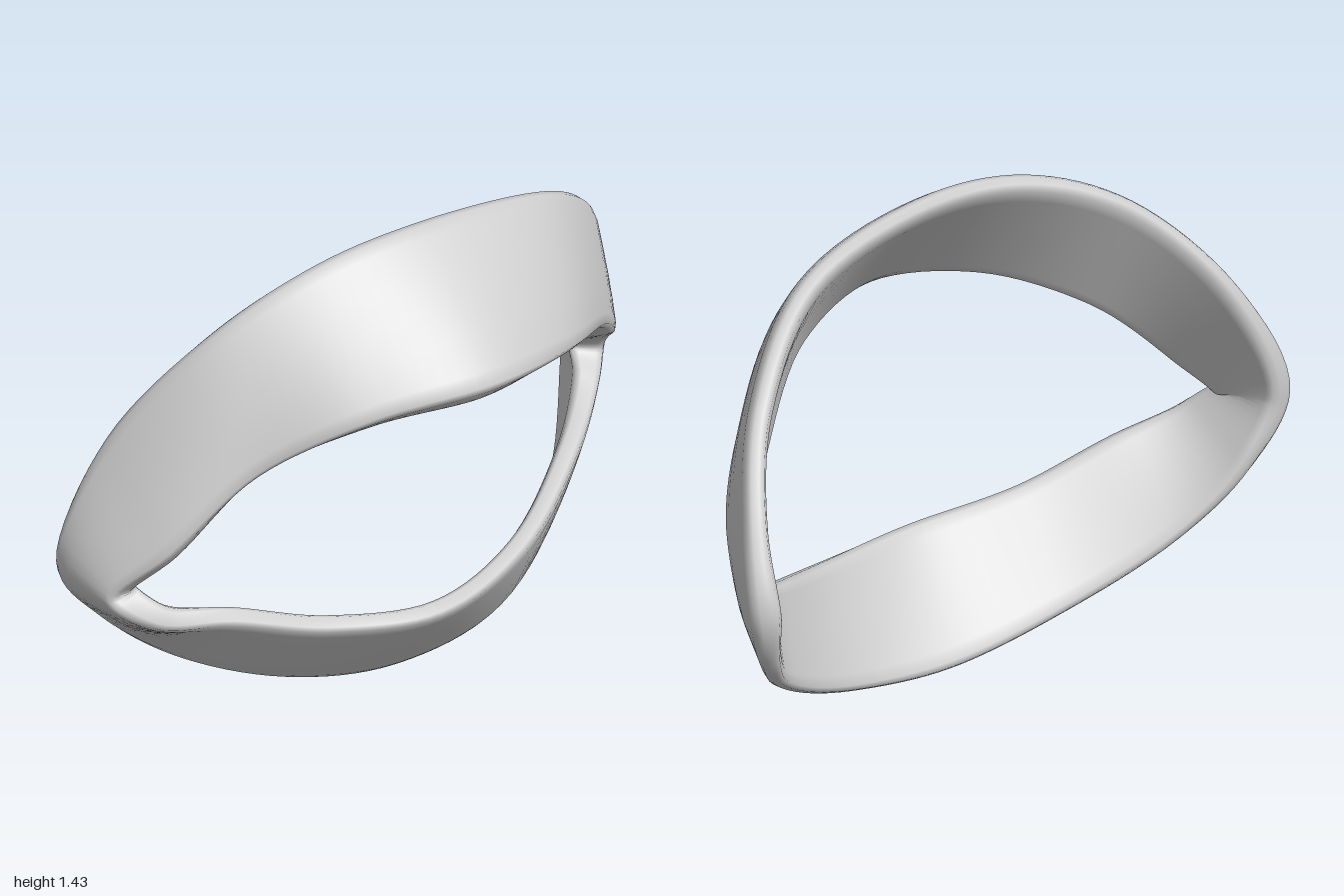
import * as THREE from 'three';

// Stations round the eye opening, counterclockwise from the outer corner:
// lid margin (x, y, z), then outer rim (x, y, z)
const STATIONS = [
  [0.93, 0.61, -0.25, 1.01, 0.63, -0.48],
  [0.87, 0.75, -0.09, 0.98, 0.86, -0.39],
  [0.74, 0.88, 0.07, 0.84, 1.13, -0.18],
  [0.45, 1.02, 0.36, 0.55, 1.35, 0.04],
  [0.10, 1.08, 0.52, 0.10, 1.44, 0.15],
  [-0.25, 1.04, 0.46, -0.25, 1.41, 0.17],
  [-0.55, 0.90, 0.34, -0.57, 1.26, 0.13],
  [-0.80, 0.69, 0.28, -0.85, 0.96, 0.02],
  [-0.94, 0.55, 0.20, -1.00, 0.60, -0.01],
  [-0.83, 0.46, 0.26, -0.86, 0.39, -0.02],
  [-0.60, 0.42, 0.29, -0.64, 0.21, 0.02],
  [-0.30, 0.33, 0.32, -0.30, 0.06, 0.06],
  [0.05, 0.29, 0.34, 0.07, -0.01, 0.05],
  [0.40, 0.34, 0.21, 0.43, 0.04, 0.00],
  [0.71, 0.46, -0.02, 0.75, 0.22, -0.19],
  [0.88, 0.55, -0.19, 0.95, 0.45, -0.43],
];

// Rounded lid section: u runs from margin to rim, v from skin to inner face
const SECTION = [
  [0.02, 0.05], [0.1, -0.03], [0.3, -0.08], [0.5, -0.1], [0.7, -0.08], [0.9, -0.03], [0.97, 0.08],
  [1, 0.3], [1, 0.65], [0.97, 0.9], [0.88, 1], [0.5, 0.92], [0.12, 1], [0.04, 0.93], [0, 0.75], [0, 0.25],
];

const STEPS = 128;

function closedCurve(offset) {
  const points = STATIONS.map((s) => new THREE.Vector3(s[offset], s[offset + 1], s[offset + 2]));
  return new THREE.CatmullRomCurve3(points, true, 'centripetal');
}

// Sweep the section between the margin curve and the rim curve
function lidGeometry() {
  const margin = closedCurve(0);
  const rim = closedCurve(3);
  const middle = (t) => margin.getPoint(t % 1).add(rim.getPoint(t % 1)).multiplyScalar(0.5);
  const positions = [];
  const indices = [];
  const count = SECTION.length;

  for (let i = 0; i < STEPS; i++) {
    const t = i / STEPS;
    const a = margin.getPoint(t);
    const across = rim.getPoint(t).sub(a);
    const along = middle(t + 0.02).sub(middle(t + 0.98));
    const inward = along.cross(across).normalize();
    // The upper lid is thicker than the lower, both thin out to the rim,
    // and the flesh fills out at the two corners
    const upper = 0.5 + 0.5 * Math.sin(t * Math.PI * 2);
    const corner = Math.cos(t * Math.PI * 2) ** 16;
    const marginThickness = 0.06 + 0.04 * upper + 0.025 * corner;
    const rimThickness = 0.045 + 0.02 * upper + 0.03 * corner;
    for (const [u, v] of SECTION) {
      const thickness = THREE.MathUtils.lerp(marginThickness, rimThickness, u);
      const p = a.clone().addScaledVector(across, u).addScaledVector(inward, v * thickness);
      positions.push(p.x, p.y, p.z);
    }
    const next = (i + 1) % STEPS;
    for (let j = 0; j < count; j++) {
      const k = (j + 1) % count;
      const p = i * count + j, q = i * count + k;
      const r = next * count + j, s = next * count + k;
      indices.push(p, q, r, q, s, r);
    }
  }

  const geometry = new THREE.BufferGeometry();
  geometry.setAttribute('position', new THREE.Float32BufferAttribute(positions, 3));
  geometry.setIndex(indices);
  geometry.computeVertexNormals();
  return geometry;
}

export function createModel() {
  const model = new THREE.Group();
  model.name = 'eyelids';
  const material = new THREE.MeshStandardMaterial({ color: 0xcccccc });
  const lids = new THREE.Mesh(lidGeometry(), material);
  lids.name = 'upperAndLowerLid';
  model.add(lids);
  return model;
}
